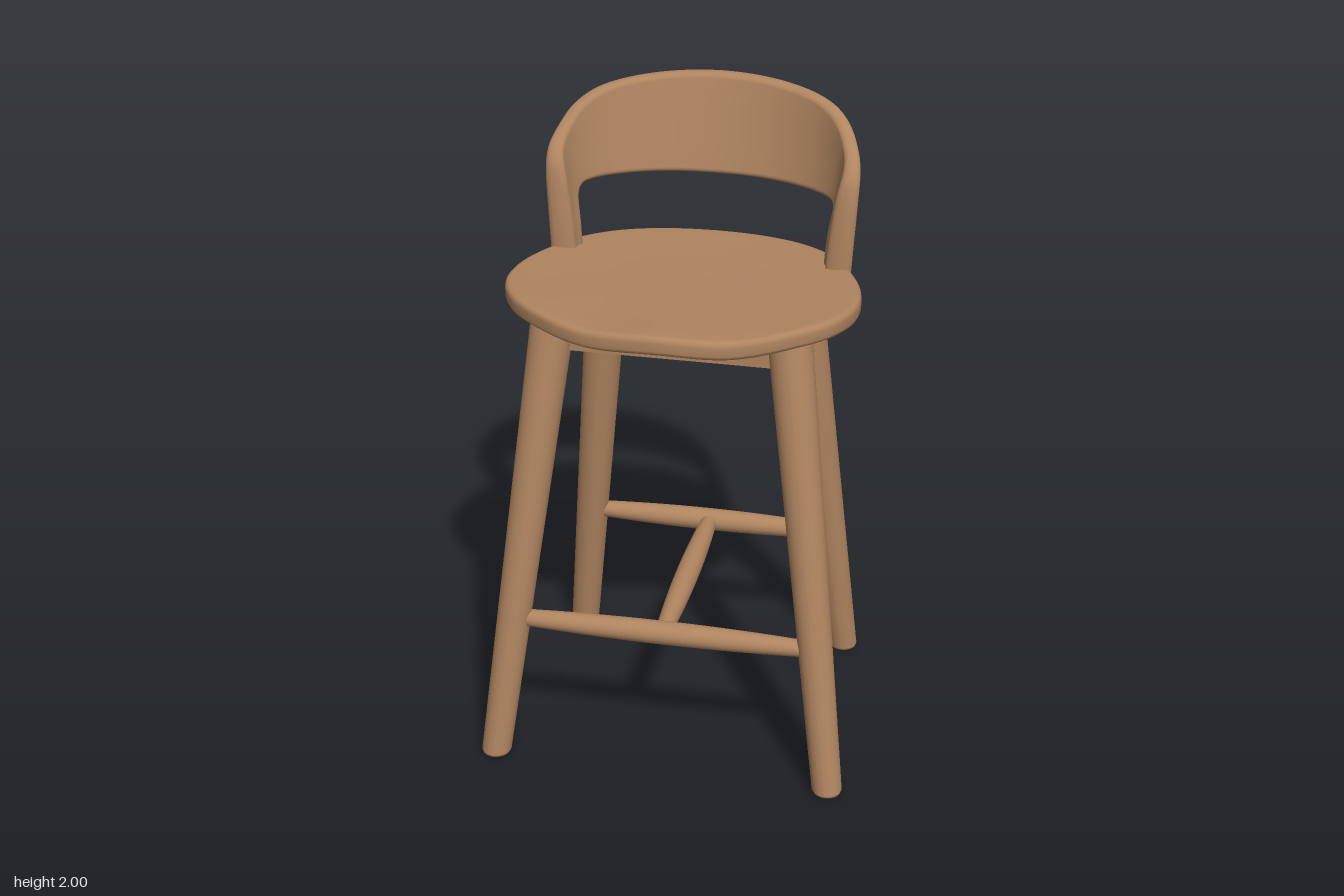
import * as THREE from 'three';

const wood = new THREE.MeshStandardMaterial({ color: 0xb08560 });
wood.name = 'warm wood';

const V = (x, y, z) => new THREE.Vector3(x, y, z);

function add(group, name, geometry) {
  const mesh = new THREE.Mesh(geometry, wood);
  mesh.name = name;
  group.add(mesh);
  return mesh;
}

// Skin a list of closed rings, all with the same number of points
function loft(rings) {
  const n = rings[0].length, index = [];
  for (let i = 0; i < rings.length - 1; i++) {
    for (let j = 0; j < n; j++) {
      const a = i * n + j, b = i * n + (j + 1) % n, c = a + n, d = b + n;
      index.push(a, c, d, a, d, b);
    }
  }
  const g = new THREE.BufferGeometry().setFromPoints(rings.flat());
  g.setIndex(index);
  g.computeVertexNormals();
  return g;
}

// Saddle seat: rounded outline, gently dished on top and domed below
function seatGeometry() {
  const half = [[0.2, 0.475], [0.35, 0.405], [0.465, 0.305], [0.525, 0.19], [0.538, 0.09],
    [0.522, -0.02], [0.478, -0.14], [0.41, -0.265], [0.3, -0.365], [0.16, -0.422]];
  const pts = [[0, 0.505], ...half, [0, -0.44], ...half.map(([x, z]) => [-x, z]).reverse()];
  const outline = new THREE.CatmullRomCurve3(pts.map(([x, z]) => V(x, 0, z)), true).getPoints(120);
  outline.pop();
  const profile = [[0, -0.02], [0.3, -0.019], [0.6, -0.013], [0.85, -0.004], [0.96, 0], [0.985, -0.003],
    [0.997, -0.01], [1, -0.02], [1, -0.045], [0.992, -0.055], [0.975, -0.06], [0.85, -0.068],
    [0.6, -0.077], [0.3, -0.083], [0, -0.085]];
  return loft(profile.map(([s, off]) => outline.map((p) => {
    const x = p.x * s, z = p.z * s;
    const front = THREE.MathUtils.smoothstep(z, 0.1, 0.5);
    const dip = Math.abs(x) < 0.44 ? 0.012 * front * Math.sin(Math.PI * x / 0.44) ** 2 : 0;
    return V(x, 1.52 + 0.05 * z - 0.05 * z * z - dip + off, z);
  })));
}

// Bent backrest: an arch of [angle, height] edge pairs, wrapped on a leaning ellipse
function backrestGeometry() {
  const outer = [[94, 1.47], [93, 1.6], [90, 1.75], [84, 1.82], [72, 1.875], [60, 1.93], [46, 1.967], [24, 1.991]];
  const inner = [[72, 1.47], [71.5, 1.58], [70.5, 1.63], [67, 1.66], [62, 1.678], [55, 1.684], [44, 1.687], [23, 1.69]];
  const arch = (list, top) => new THREE.CatmullRomCurve3(
    [...list, [0, top], ...list.map(([a, y]) => [-a, y]).reverse()]
      .map(([a, y]) => V(THREE.MathUtils.degToRad(a), y, 0)), false, 'catmullrom');
  const outerEdge = arch(outer, 2), innerEdge = arch(inner, 1.69);
  const rings = [], steps = 128;
  for (let i = 0; i <= steps; i++) {
    const t = i / steps;
    const o = outerEdge.getPoint(t), e = innerEdge.getPoint(t);
    const post = THREE.MathUtils.smoothstep(Math.abs(2 * t - 1), 0.45, 0.95);
    const D = 0.045 + 0.035 * post, r = 0.017 + 0.019 * post;
    const W = Math.hypot((o.x - e.x) * 0.42, o.y - e.y);
    // Rounded rectangle: w runs from inner edge to outer edge, d through the thickness
    const section = [];
    const corner = (w, d, start) => {
      for (let k = 0; k <= 4; k++) {
        const a = start + k * Math.PI / 8;
        section.push([w + r * Math.cos(a), d + r * Math.sin(a)]);
      }
    };
    const side = (d, from, to) => [1, 2, 3].forEach((k) => section.push([from + (to - from) * k / 4, d]));
    side(0, r, W - r);
    corner(W - r, r, -Math.PI / 2);
    corner(W - r, D - r, 0);
    side(D, W - r, r);
    corner(r, D - r, Math.PI / 2);
    corner(r, r, Math.PI);
    rings.push(section.map(([w, d]) => {
      const p = e.clone().lerp(o, w / W);
      const a = 0.495 + (p.y - 1.85) * 0.06 - d;
      const b = 0.36 + (p.y - 2) * 0.22 - d;
      return V(a * Math.sin(p.x), p.y, -0.15 - b * Math.cos(p.x));
    }));
  }
  return loft(rings);
}

// Tapered leg with an eased foot, sheared so the foot stays flat on the floor
function legGeometry(foot, top) {
  const profile = [[0, 0], [0.036, 0], [0.043, 0.003], [0.047, 0.012], [0.067, 1.46], [0, 1.465]];
  const g = new THREE.LatheGeometry(profile.map(([r, y]) => new THREE.Vector2(r, y)), 32);
  const p = g.attributes.position;
  for (let i = 0; i < p.count; i++) {
    const k = p.getY(i) / 1.46;
    p.setX(i, p.getX(i) + foot[0] + (top[0] - foot[0]) * k);
    p.setZ(i, p.getZ(i) + foot[1] + (top[1] - foot[1]) * k);
  }
  g.computeVertexNormals();
  return g;
}

// Place a mesh whose long axis is local y between two points
function span(mesh, a, b) {
  mesh.position.copy(a).lerp(b, 0.5);
  mesh.quaternion.setFromUnitVectors(V(0, 1, 0), b.clone().sub(a).normalize());
}

// Spindle that swells toward its middle
function stretcher(group, name, a, b) {
  const L = a.distanceTo(b), pts = [];
  for (let i = 0; i <= 16; i++) {
    const u = i / 8 - 1;
    pts.push(new THREE.Vector2(0.037 - 0.012 * u * u, u * L / 2));
  }
  span(add(group, name, new THREE.LatheGeometry(pts, 24)), a, b);
}

// Upright board under the seat
function rail(group, name, a, b, height, thick) {
  const mesh = add(group, name, new THREE.BoxGeometry(a.distanceTo(b), height, thick));
  mesh.position.copy(a).lerp(b, 0.5);
  const d = b.clone().sub(a).normalize();
  const side = d.clone().cross(V(0, 1, 0)).normalize();
  mesh.quaternion.setFromRotationMatrix(new THREE.Matrix4().makeBasis(d, side.clone().cross(d), side));
}

export function createModel() {
  const group = new THREE.Group();
  group.name = 'barStool';
  add(group, 'seat', seatGeometry());
  add(group, 'backrest', backrestGeometry());

  // Splayed legs
  for (const s of [1, -1]) {
    const label = s > 0 ? 'Left' : 'Right';
    add(group, 'front' + label + 'Leg', legGeometry([0.535 * s, 0.45], [0.357 * s, 0.263]));
    add(group, 'rear' + label + 'Leg', legGeometry([0.457 * s, -0.405], [0.305 * s, -0.215]));
  }

  // Foot stretchers in an H
  const y = 0.475;
  stretcher(group, 'frontStretcher', V(-0.47, y, 0.389), V(0.47, y, 0.389));
  stretcher(group, 'rearStretcher', V(-0.4, y, -0.343), V(0.4, y, -0.343));
  stretcher(group, 'middleStretcher', V(0, y, 0.389), V(0, y, -0.343));

  // Apron frame with crossed braces
  const fl = V(0.36, 1.41, 0.265), fr = V(-0.36, 1.41, 0.265);
  const rl = V(0.31, 1.4, -0.22), rr = V(-0.31, 1.4, -0.22);
  rail(group, 'frontRail', fr, fl, 0.095, 0.04);
  rail(group, 'rearRail', rr, rl, 0.09, 0.04);
  rail(group, 'leftRail', fl, rl, 0.095, 0.04);
  rail(group, 'rightRail', fr, rr, 0.095, 0.04);
  rail(group, 'braceA', fl, rr, 0.08, 0.035);
  rail(group, 'braceB', fr, rl, 0.08, 0.035);
  return group;
}
